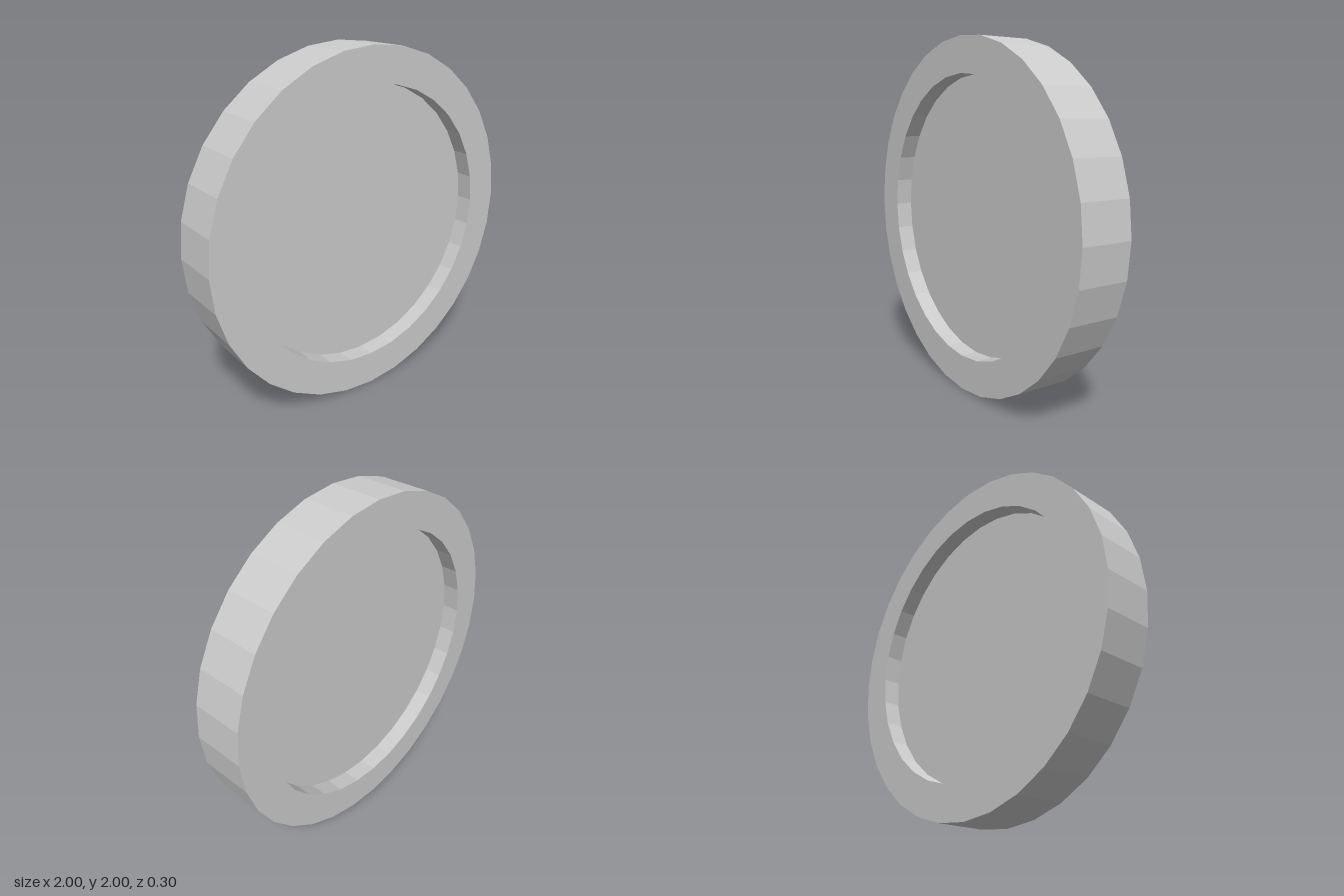
import * as THREE from 'three';

const SIDES = 32;
const OUTER = 1, INNER = 0.8;      // rim radii
const HALF = 0.15, FLOOR = 0.05;   // half thickness of the rim and of the sunken disc

export function createModel() {
  const group = new THREE.Group();
  group.name = 'coin';
  const material = new THREE.MeshStandardMaterial({ color: 0xcccccc, flatShading: true });

  // Raised rim: recess wall, flat lip, outer edge, flat lip, recess wall
  const profile = [
    [INNER, -FLOOR], [INNER, -HALF], [OUTER, -HALF],
    [OUTER, HALF], [INNER, HALF], [INNER, FLOOR],
  ].map(([r, y]) => new THREE.Vector2(r, y));
  const rimGeometry = new THREE.LatheGeometry(profile, SIDES).toNonIndexed();
  rimGeometry.computeVertexNormals();
  rimGeometry.rotateX(Math.PI / 2);
  const rim = new THREE.Mesh(rimGeometry, material);
  rim.name = 'rim';
  rim.position.y = OUTER;
  group.add(rim);

  // Sunken face on each side
  for (const side of [1, -1]) {
    const face = new THREE.Mesh(new THREE.CircleGeometry(INNER, SIDES), material);
    face.name = side > 0 ? 'frontFace' : 'backFace';
    face.position.set(0, OUTER, side * FLOOR);
    if (side < 0) face.rotation.y = Math.PI;
    group.add(face);
  }
  return group;
}
